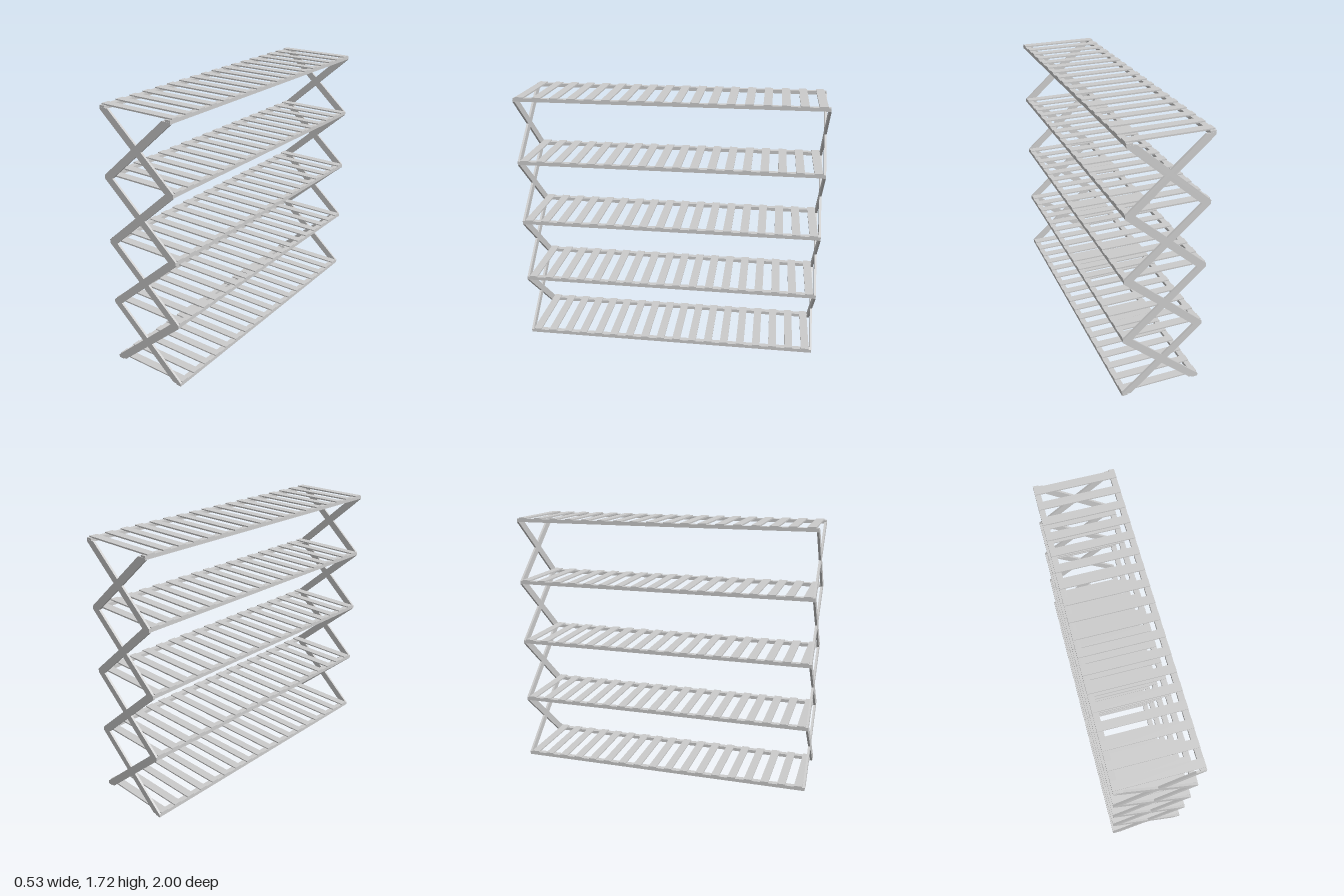
import * as THREE from 'three';

const LEVELS = 5, BASE = 0.01, PITCH = 0.4235;   // shelf heights
const EDGE = 0.263, NODE_X = 0.24, HALF_V = 0.032; // brace outline
const SLATS = 18, SLAT_PITCH = 0.1124;

export function createModel() {
  const model = new THREE.Group();
  model.name = 'slattedShelfRack';
  const mat = new THREE.MeshStandardMaterial({ color: 0xcccccc, flatShading: true });

  const add = (parent, name, geometry, x, y, z) => {
    const mesh = new THREE.Mesh(geometry, mat);
    mesh.name = name;
    mesh.position.set(x, y, z);
    parent.add(mesh);
  };

  // Shelves: two side rails carrying a row of thin slats
  const railGeo = new THREE.BoxGeometry(0.037, 0.022, 1.996);
  const slatGeo = new THREE.BoxGeometry(EDGE * 2, 0.009, 0.054);
  for (let i = 0; i < LEVELS; i++) {
    const y = BASE + i * PITCH;
    const shelf = new THREE.Group();
    shelf.name = 'shelf' + (i + 1);
    for (const s of [-1, 1]) add(shelf, 'sideRail', railGeo, s * (EDGE - 0.0185), y + 0.001, 0);
    for (let j = 0; j < SLATS; j++) {
      add(shelf, 'slat', slatGeo, 0, y + 0.0145, (j - (SLATS - 1) / 2) * SLAT_PITCH);
    }
    model.add(shelf);
  }

  // Diagonal brace: mitred where it meets the next one, outer tip cut upright
  const slope = PITCH / (2 * NODE_X);
  const inner = NODE_X - HALF_V / slope;
  const tip = HALF_V - slope * (EDGE - NODE_X);
  const braceGeo = (dir) => {
    const pts = [
      [-EDGE, 0], [-inner, 0], [EDGE, PITCH - tip],
      [EDGE, PITCH], [inner, PITCH], [-EDGE, tip],
    ].map(([x, y]) => new THREE.Vector2(dir * x, y));
    const geo = new THREE.ExtrudeGeometry(new THREE.Shape(pts), { depth: 0.014, bevelEnabled: false });
    return geo.translate(0, 0, -0.007);
  };
  const braces = [braceGeo(1), braceGeo(-1)];

  // Crossed braces at the front and back ends
  for (const end of [-1, 1]) {
    const frame = new THREE.Group();
    frame.name = end > 0 ? 'frontFrame' : 'backFrame';
    for (let i = 0; i < LEVELS - 1; i++) {
      for (const geo of braces) add(frame, 'diagonalBrace', geo, 0, BASE + i * PITCH, end * 0.993);
    }
    model.add(frame);
  }
  return model;
}
